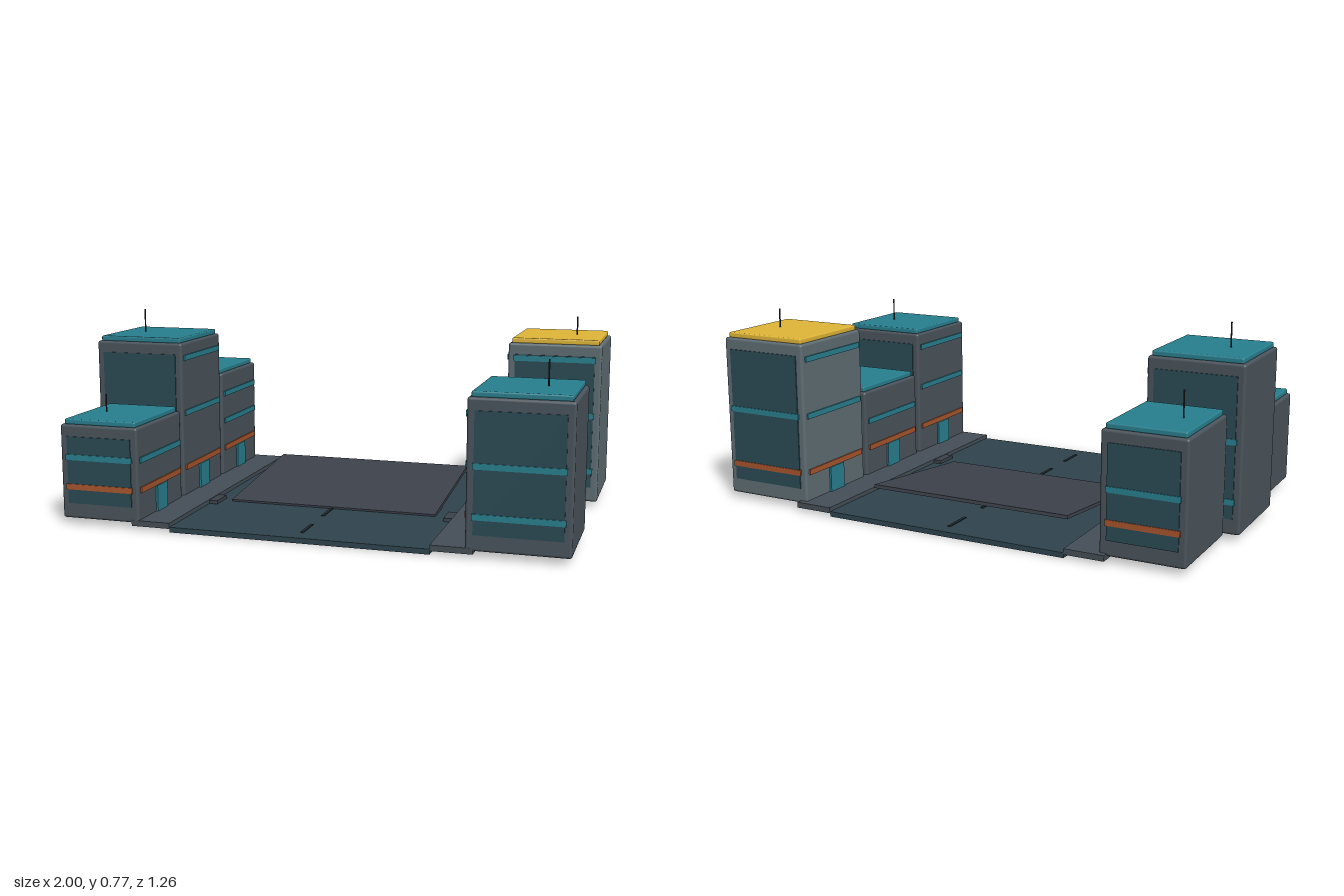
import * as THREE from 'three';
import { RoundedBoxGeometry } from 'three/addons/geometries/RoundedBoxGeometry.js';

const mat = (color) => new THREE.MeshStandardMaterial({ color });
const M = {
  wall: mat(0x4a545c), paleWall: mat(0x5f6d73), road: mat(0x2f444e), walk: mat(0x454f57),
  ramp: mat(0x3d424b), glass: mat(0x2a4a53), teal: mat(0x287f8e), yellow: mat(0xe0b638),
  orange: mat(0xa8552c), dark: mat(0x22282d),
};

function add(parent, name, geometry, material, x, y, z) {
  const mesh = new THREE.Mesh(geometry, material);
  mesh.name = name;
  mesh.position.set(x, y, z);
  parent.add(mesh);
  return mesh;
}
const box = (parent, name, material, w, h, d, x, y, z) =>
  add(parent, name, new THREE.BoxGeometry(w, h, d), material, x, y, z);

const BASE = 0.025, DEPTH = 0.395, INNER = 0.625;

// One block: rounded body, roof slab, glazed ends, floor bands, door and mast.
function building({ side, z, outer, top, mast, bands, low, wall = M.wall, roof = M.teal, frontTop }) {
  const g = new THREE.Group();
  g.name = 'building';
  g.position.set(side * (INNER + outer) / 2, 0, z);
  const w = outer - INNER, h = top - BASE;
  add(g, 'body', new RoundedBoxGeometry(w, h, DEPTH, 2, 0.01), wall, 0, BASE + h / 2, 0);
  add(g, 'roof', new RoundedBoxGeometry(w - 0.025, 0.022, DEPTH - 0.025, 2, 0.006), roof, 0, top + 0.009, 0);
  add(g, 'mast', new THREE.CylinderGeometry(0.003, 0.003, mast - top, 8), M.dark, side * 0.065, (mast + top) / 2, 0);

  // Glazing and bands on the front and back ends
  const panelTop = top - 0.045;
  for (const s of [-1, 1]) {
    const face = s * DEPTH / 2;
    box(g, 'windowPanel', M.glass, w - 0.055, panelTop - 0.085, 0.008, 0, (panelTop + 0.085) / 2, face);
    const levels = s > 0 && frontTop ? bands : bands.slice(0, 2);
    levels.forEach((y, i) => box(g, 'floorBand', i === 0 ? low[s > 0 ? 0 : 1] : M.teal,
      w - 0.045, 0.022, 0.014, 0, y, face));
  }

  // Bands and door on the side facing the street
  const street = -side * w / 2;
  bands.forEach((y, i) => box(g, 'streetBand', i === 0 ? M.orange : M.teal,
    0.012, 0.022, DEPTH - 0.04, street, y, 0));
  box(g, 'door', M.teal, 0.016, 0.105, 0.09, street, 0.085, 0);
  return g;
}

export function createModel() {
  const root = new THREE.Group();
  root.name = 'cityStreet';

  // Road with centre dashes
  box(root, 'road', M.road, 1.0, 0.02, 1.25, 0, 0.01, -0.003);
  for (let i = 0; i < 5; i++)
    box(root, 'laneDash', M.dark, 0.012, 0.004, 0.12, 0, 0.021, -0.51 + i * 0.25);

  // Pavements and kerb blocks, mirrored
  for (const s of [-1, 1]) {
    box(root, 'pavement', M.walk, 0.155, 0.022, 1.255, s * 0.5775, 0.025, -0.003);
    box(root, 'kerbBlock', M.ramp, 0.035, 0.015, 0.1, s * 0.4825, 0.0265, 0.193);
  }

  // Thin sloping deck, raised at the back
  const rise = 0.062, run = 0.62;
  const deck = box(root, 'ramp', M.ramp, 0.845, 0.014, Math.hypot(rise, run), -0.003, 0.052, -0.13);
  deck.rotation.x = Math.atan2(rise, run);

  const T = M.teal, O = M.orange;
  const blocks = [
    { side: -1, z: 0.426, outer: 0.945, top: 0.39, mast: 0.48, bands: [0.15, 0.265], low: [O, O] },
    { side: -1, z: 0.007, outer: 0.998, top: 0.66, mast: 0.775, bands: [0.15, 0.375, 0.6], low: [T, T] },
    { side: -1, z: -0.409, outer: 0.945, top: 0.48, mast: 0.6, bands: [0.15, 0.27, 0.39], low: [T, O] },
    { side: 1, z: 0.426, outer: 0.998, top: 0.57, mast: 0.685, bands: [0.15, 0.33, 0.51], low: [T, T] },
    { side: 1, z: 0.007, outer: 0.945, top: 0.39, mast: 0.525, bands: [0.15, 0.265], low: [T, T] },
    { side: 1, z: -0.409, outer: 0.998, top: 0.66, mast: 0.755, bands: [0.15, 0.375, 0.6], low: [T, O],
      wall: M.paleWall, roof: M.yellow, frontTop: true },
  ];
  for (const b of blocks) root.add(building(b));
  return root;
}
